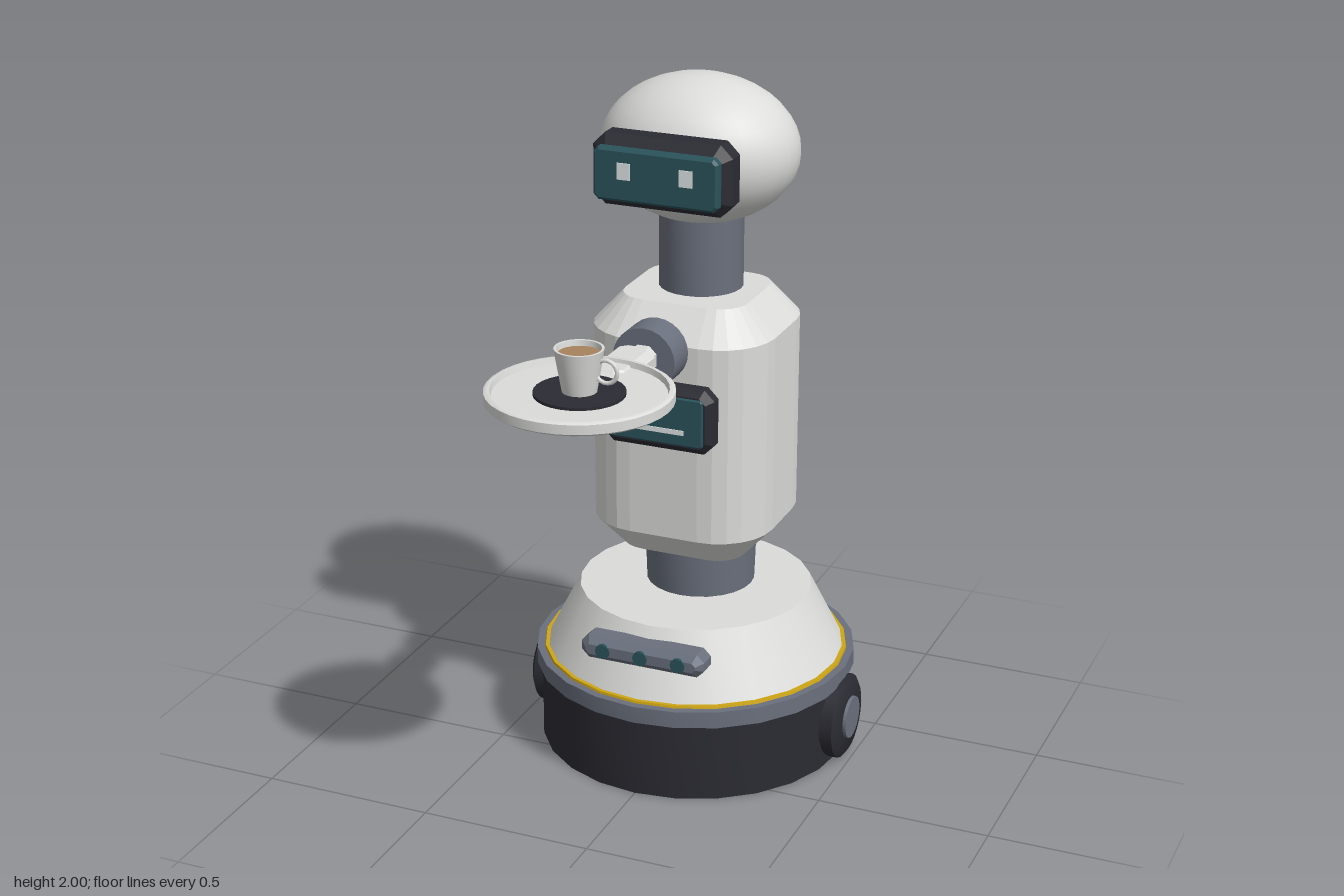
import * as THREE from 'three';
import { toCreasedNormals } from 'three/addons/utils/BufferGeometryUtils.js';

const BODY_Z = -0.29;
const TRAY_Z = 0.51;

export function createModel() {
  const root = new THREE.Group();
  root.name = 'servingRobot';

  const material = (name, color) => {
    const m = new THREE.MeshStandardMaterial({ color });
    m.name = name;
    return m;
  };
  const shell = material('shellWhite', 0xdcdcda);
  const dark = material('darkPlastic', 0x2b2b33);
  const grey = material('jointGrey', 0x6a707d);
  const teal = material('screenTeal', 0x2a535b);
  const yellow = material('trimYellow', 0xcfa614);
  const coffee = material('coffeeBrown', 0xa8835f);
  const glow = material('displayLight', 0xe6ebeb);

  const add = (name, geometry, mat, x = 0, y = 0, z = 0) => {
    const mesh = new THREE.Mesh(geometry, mat);
    mesh.name = name;
    mesh.position.set(x, y, z);
    root.add(mesh);
    return mesh;
  };

  // Solid of revolution with crisp edges from [radius, height] pairs
  const turned = (pairs, sides = 24) => toCreasedNormals(
    new THREE.LatheGeometry(pairs.map(([r, y]) => new THREE.Vector2(r, y)), sides), 0.6);

  const drum = (r0, r1, y0, y1, sides) =>
    turned([[0, y0], [r0, y0], [r1, y1], [0, y1]], sides);

  // Box with cut corners and bevelled front and back, centred on the origin
  const chamferBox = (w, h, d, corner, bevel) => {
    const x = w / 2, y = h / 2, c = corner;
    const shape = new THREE.Shape([
      [x - c, -y], [x, -y + c], [x, y - c], [x - c, y],
      [-x + c, y], [-x, y - c], [-x, -y + c], [-x + c, -y],
    ].map(([a, b]) => new THREE.Vector2(a, b)));
    const g = new THREE.ExtrudeGeometry(shape, {
      depth: d - 2 * bevel, bevelThickness: bevel, bevelSize: bevel,
      bevelOffset: -bevel, bevelSegments: 1,
    });
    return g.translate(0, 0, -d / 2 + bevel);
  };

  // Wheeled base
  add('baseDrum', drum(0.455, 0.455, 0, 0.25), dark, 0, 0, BODY_Z);
  add('bumperBand', drum(0.47, 0.47, 0.235, 0.285), grey, 0, 0, BODY_Z);
  add('trimRing', drum(0.449, 0.446, 0.28, 0.292), yellow, 0, 0, BODY_Z);
  add('baseCone', drum(0.438, 0.34, 0.285, 0.48), shell, 0, 0, BODY_Z);
  for (const side of [1, -1]) {
    const name = side > 0 ? 'left' : 'right';
    const wheel = add(name + 'Wheel', turned(
      [[0, 0.42], [0.125, 0.42], [0.125, 0.475], [0.105, 0.488], [0, 0.488]]),
      dark, 0, 0.125, BODY_Z);
    const hub = add(name + 'WheelHub', drum(0.065, 0.062, 0.46, 0.497), grey, 0, 0.125, BODY_Z);
    wheel.rotation.z = hub.rotation.z = -side * Math.PI / 2;
  }

  // Sensor bar on the front of the base
  add('sensorBar', chamferBox(0.376, 0.07, 0.09, 0.022, 0.02), grey, 0, 0.412, 0.082);
  for (const x of [-0.115, 0, 0.115]) {
    add('sensorLens', new THREE.CylinderGeometry(0.022, 0.022, 0.02, 12), teal,
      x, 0.412, 0.121).rotation.x = Math.PI / 2;
  }

  // Waist and neck columns
  add('waist', drum(0.158, 0.166, 0.47, 0.7), grey, 0, 0, -0.328);
  add('neck', drum(0.12, 0.12, 1.36, 1.66), grey, 0, 0, -0.317);

  // Torso: rounded rectangle, bevelled at top and bottom
  const w = 0.267, d = 0.25, r = 0.165;
  const outline = new THREE.Shape();
  outline.absarc(w - r, d - r, r, 0, Math.PI / 2);
  outline.absarc(-w + r, d - r, r, Math.PI / 2, Math.PI);
  outline.absarc(-w + r, -d + r, r, Math.PI, Math.PI * 1.5);
  outline.absarc(w - r, -d + r, r, Math.PI * 1.5, Math.PI * 2);
  const torso = new THREE.ExtrudeGeometry(outline, {
    depth: 0.58, curveSegments: 3, bevelSegments: 1,
    bevelThickness: 0.09, bevelSize: 0.083, bevelOffset: -0.083,
  });
  torso.rotateX(-Math.PI / 2);
  add('torso', torso, shell, 0, 0.72, BODY_Z);
  for (const x of [-0.17, 0, 0.17]) {
    add('backTab', new THREE.BoxGeometry(0.04, 0.12, 0.04), grey, x, 0.78, -0.53);
  }

  // Chest display
  add('chestFrame', chamferBox(0.332, 0.19, 0.068, 0.03, 0.02), dark, 0, 1.1, -0.024);
  add('chestScreen', chamferBox(0.28, 0.142, 0.02, 0.006, 0.004), teal, 0, 1.1, 0.006);
  add('chestLine', new THREE.BoxGeometry(0.17, 0.014, 0.004), glow, 0, 1.07, 0.017);

  // Head with visor and square eyes
  const head = new THREE.SphereGeometry(1, 32, 20).scale(0.285, 0.208, 0.238);
  add('head', head, shell, 0, 1.792, -0.302);
  add('visorFrame', chamferBox(0.405, 0.2, 0.11, 0.035, 0.03), dark, 0, 1.785, -0.06);
  add('visorScreen', chamferBox(0.362, 0.148, 0.034, 0.014, 0.008), teal, 0, 1.785, 0.003);
  for (const x of [-0.09, 0.09]) {
    add('eye', new THREE.BoxGeometry(0.038, 0.046, 0.005), glow, x, 1.798, 0.021);
  }

  // Arm reaching forward from the shoulder disc
  add('shoulderDisc', drum(0.091, 0.091, 0, 0.095), grey, 0, 1.3, 0).rotation.x = Math.PI / 2;
  add('shoulderLink', chamferBox(0.075, 0.075, 0.09, 0.02, 0.01), shell, 0, 1.305, 0.125);
  const arm = chamferBox(0.12, 0.235, 0.1, 0.03, 0.02).rotateX(-Math.PI / 2);
  add('arm', arm, shell, 0, 1.308, 0.245);
  add('wristLink', chamferBox(0.07, 0.055, 0.12, 0.015, 0.01), shell, 0, 1.305, 0.39);
  add('trayMount', drum(0.077, 0.077, 1.275, 1.335), grey, 0, 0, TRAY_Z);

  // Tray with raised rim and dark mat
  add('tray', turned([
    [0, 1.331], [0.238, 1.331], [0.248, 1.338], [0.248, 1.364], [0.242, 1.368],
    [0.232, 1.368], [0.228, 1.352], [0, 1.352],
  ], 36), shell, 0, 0, TRAY_Z);
  add('trayMat', drum(0.121, 0.121, 1.35, 1.36, 28), dark, 0, 0, TRAY_Z);

  // Cup of coffee
  add('cup', turned([
    [0, 1.36], [0.046, 1.36], [0.066, 1.477], [0.059, 1.477], [0.054, 1.44], [0, 1.44],
  ]), shell, 0, 0, TRAY_Z);
  add('coffee', drum(0.053, 0.057, 1.438, 1.462), coffee, 0, 0, TRAY_Z);
  add('cupHandle', new THREE.TorusGeometry(0.031, 0.006, 8, 18), shell, 0.075, 1.423, TRAY_Z);

  return root;
}
